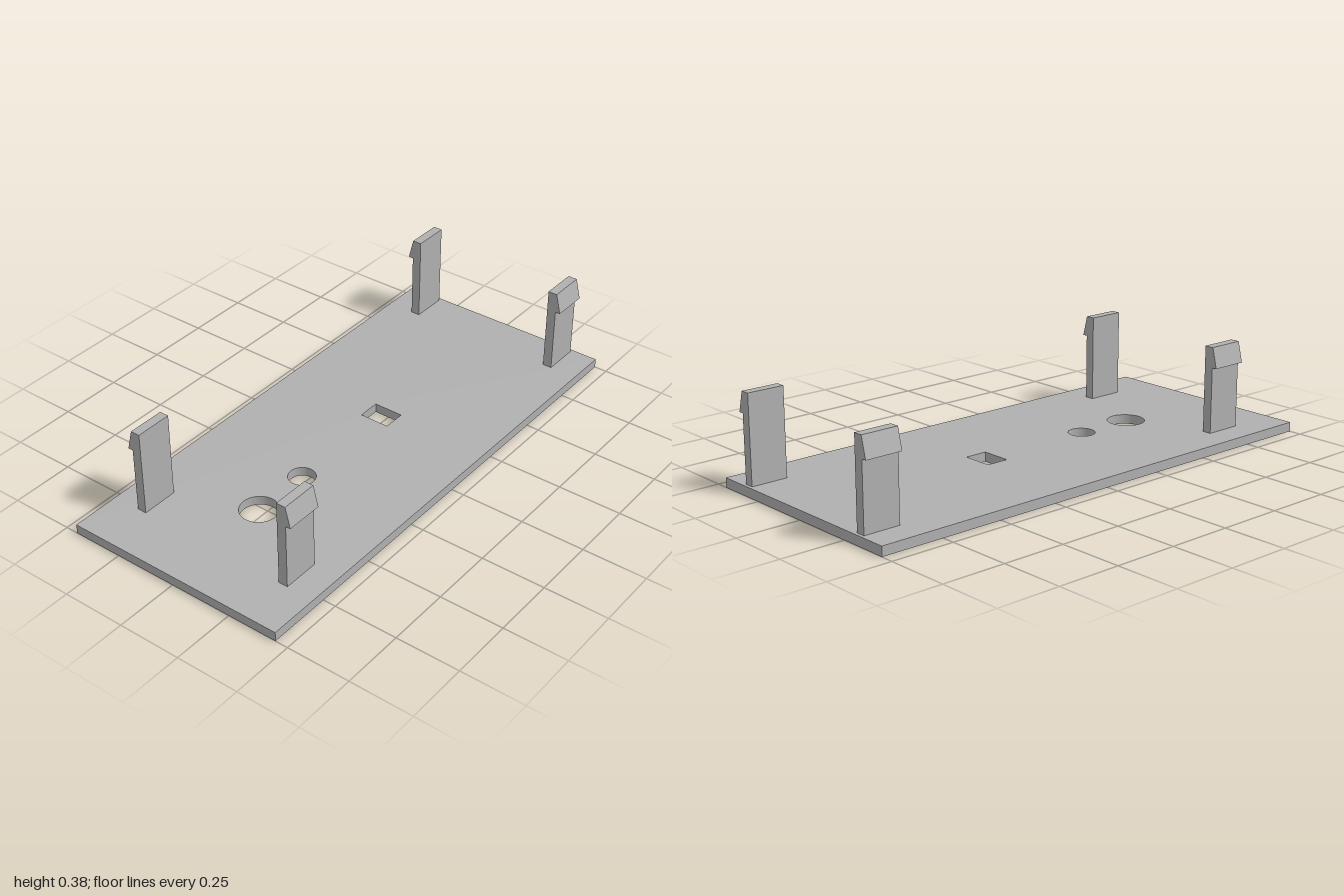
import * as THREE from 'three';

const THICK = 0.037;

function circleHole(z, r) {
  return new THREE.Path().absarc(0, -z, r, 0, Math.PI * 2, true);
}

export function createModel() {
  const group = new THREE.Group();
  const grey = new THREE.MeshStandardMaterial({ color: 0xb0b0b0 });
  grey.name = 'plastic grey';

  // Flat base plate with one rectangular slot and two round holes
  const outline = new THREE.Shape([
    [-0.45, -1], [0.45, -1], [0.45, 1], [-0.45, 1],
  ].map(([x, y]) => new THREE.Vector2(x, y)));
  const slot = new THREE.Path([
    [-0.06, 0.13], [-0.06, 0.22], [0.06, 0.22], [0.06, 0.13],
  ].map(([x, y]) => new THREE.Vector2(x, y)));
  outline.holes.push(slot, circleHole(0.305, 0.052), circleHole(0.545, 0.073));
  const plateGeometry = new THREE.ExtrudeGeometry(outline, {
    depth: THICK, bevelEnabled: false, curveSegments: 32,
  });
  plateGeometry.rotateX(-Math.PI / 2);
  const plate = new THREE.Mesh(plateGeometry, grey);
  plate.name = 'basePlate';
  group.add(plate);

  // Snap clip: upright tab with an outward hook at the top
  const profile = new THREE.Shape([
    [0.303, THICK], [0.34, THICK], [0.34, 0.295],
    [0.36, 0.295], [0.34, 0.375], [0.303, 0.375],
  ].map(([x, y]) => new THREE.Vector2(x, y)));
  const clipGeometry = new THREE.ExtrudeGeometry(profile, { depth: 0.146, bevelEnabled: false });
  clipGeometry.translate(0, 0, -0.073);

  // Four clips, the right pair turned so that the hooks face outward
  for (const [end, z] of [['front', 0.731], ['back', -0.914]]) {
    for (const side of ['Left', 'Right']) {
      const clip = new THREE.Mesh(clipGeometry, grey);
      clip.name = `${end}${side}Clip`;
      clip.position.z = z;
      if (side === 'Right') clip.rotation.y = Math.PI;
      group.add(clip);
    }
  }
  return group;
}
